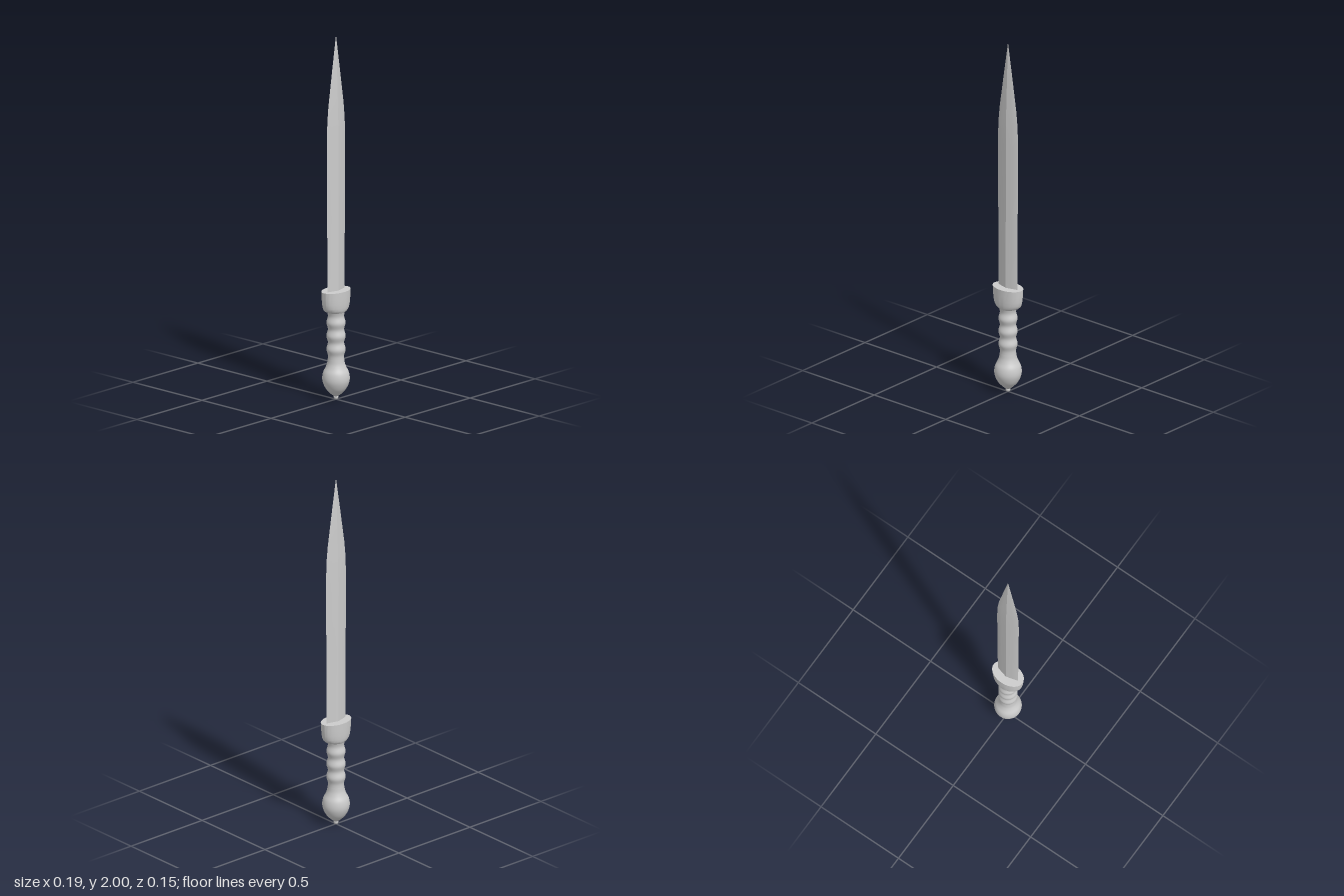
import * as THREE from 'three';
import { toCreasedNormals } from 'three/addons/utils/BufferGeometryUtils.js';

const material = new THREE.MeshStandardMaterial({ color: 0xcccccc });

// Skin a unit outline over sections [y, half width, half depth]; zero-size ends close it.
function loft(outline, sections, crease) {
  const n = outline.length, pos = [], index = [];
  for (const [y, w, d] of sections)
    for (const [x, z] of outline) pos.push(x * w, y, z * d);
  for (let i = 0; i < sections.length - 1; i++)
    for (let j = 0; j < n; j++) {
      const a = i * n + j, b = i * n + (j + 1) % n, c = a + n, d = b + n;
      if (sections[i][1] > 0) index.push(a, c, b);
      if (sections[i + 1][1] > 0) index.push(b, c, d);
    }
  const geo = new THREE.BufferGeometry();
  geo.setAttribute('position', new THREE.Float32BufferAttribute(pos, 3));
  geo.setIndex(index);
  return toCreasedNormals(geo, crease);
}

function turned(points, samples) {
  const curve = new THREE.SplineCurve(points.map(([r, y]) => new THREE.Vector2(r, y)));
  const profile = curve.getPoints(samples);
  profile.forEach(p => { p.x = Math.max(0, p.x); });
  return new THREE.LatheGeometry(profile, 48);
}

export function createModel() {
  const group = new THREE.Group();
  const add = (name, geo) => {
    const mesh = new THREE.Mesh(geo, material);
    mesh.name = name;
    group.add(mesh);
  };

  // Blade: slightly bulged diamond section, parallel edges, long straight point
  const diamond = [[1, 0], [0.9, 0.17], [0.5, 0.58], [0, 1], [-0.5, 0.58], [-0.9, 0.17],
    [-1, 0], [-0.9, -0.17], [-0.5, -0.58], [0, -1], [0.5, -0.58], [0.9, -0.17]];
  add('blade', loft(diamond, [
    [0.56, 0, 0], [0.56, 0.065, 0.019], [1.0, 0.068, 0.018], [1.4, 0.07, 0.018],
    [1.5, 0.068, 0.017], [1.55, 0.065, 0.016], [1.62, 0.058, 0.014],
    [1.8, 0.031, 0.008], [2.0, 0, 0],
  ], 0.32));

  // Guard: flat-topped oval cup, rounded underneath
  const oval = Array.from({ length: 56 }, (_, i) => {
    const t = i / 56 * Math.PI * 2;
    return [Math.cos(t), Math.sin(t)];
  });
  add('guard', loft(oval, [
    [0.482, 0, 0], [0.482, 0.052, 0.048], [0.488, 0.066, 0.052], [0.498, 0.077, 0.055],
    [0.512, 0.084, 0.057], [0.535, 0.088, 0.059], [0.565, 0.091, 0.06],
    [0.6, 0.093, 0.061], [0.6, 0, 0],
  ], 0.7));

  // Grip: turned handle with finger swells
  const grip = [[0.046, 0.19]];
  for (let i = 0; i < 4; i++) {
    const y = 0.24 + i * 0.073;
    grip.push([0.043, y], [0.051, y + 0.036]);
  }
  grip.push([0.053, 0.51]);
  add('grip', turned(grip, 60));

  // Pommel: bulb narrowing to the end button
  add('pommel', turned([[0.012, 0.019], [0.03, 0.033], [0.054, 0.06], [0.069, 0.092],
    [0.073, 0.12], [0.068, 0.15], [0.055, 0.177], [0.047, 0.2], [0.044, 0.225]], 40));

  // Button at the very end
  add('pommelButton', turned([[0, 0], [0.008, 0.002], [0.012, 0.009], [0.012, 0.017],
    [0.008, 0.024], [0, 0.027]], 16));

  return group;
}
